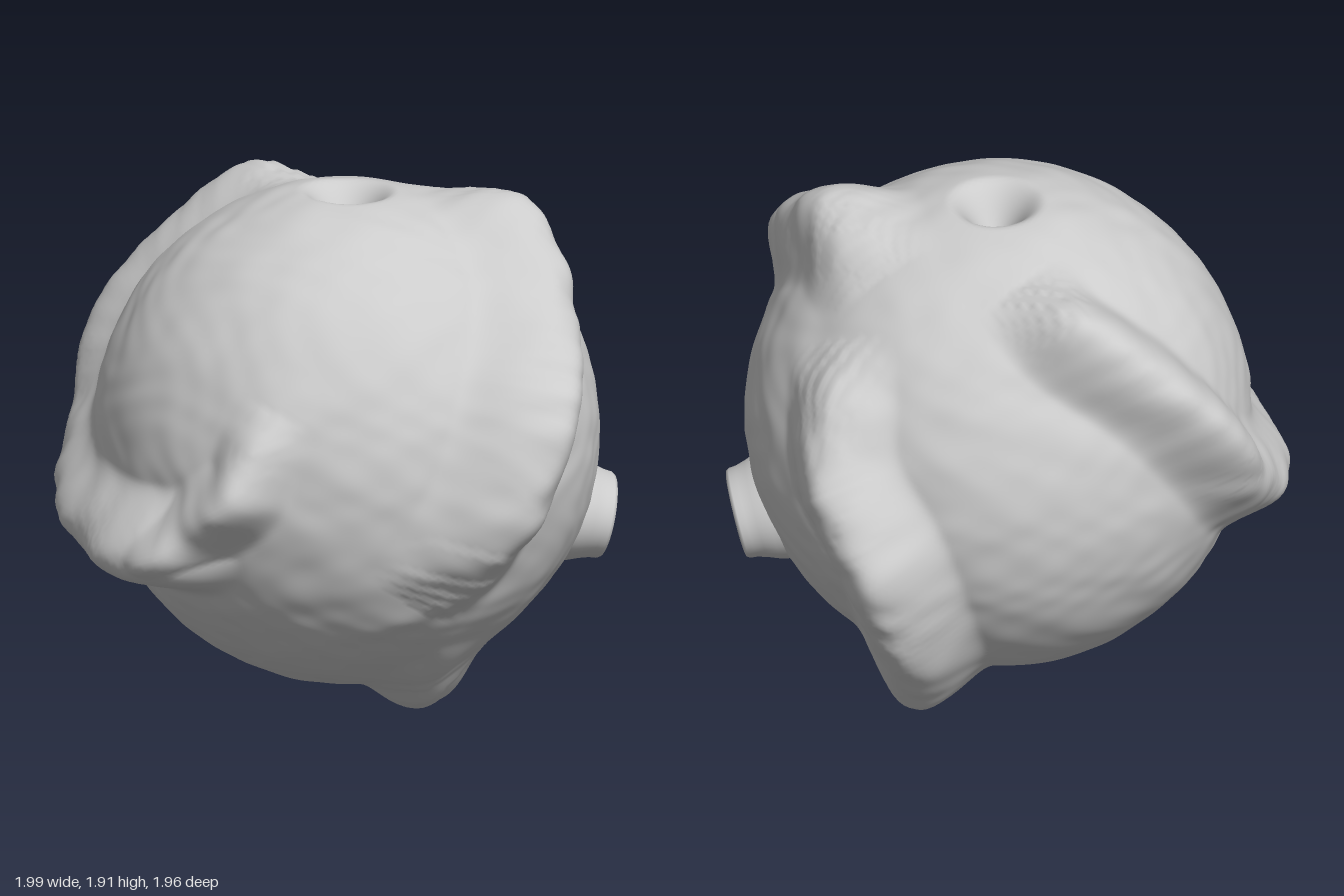
import * as THREE from 'three';
import { mergeVertices } from 'three/addons/utils/BufferGeometryUtils.js';

const CENTRE = new THREE.Vector3(0.03, 1.035, 0);
const RADIUS = 0.893;

// Crest paths, with the falloff width on either side of each crest
const RIDGES = [
  { // front ridge, from the crown down across the front
    right: 0.33, left: 0.28,
    path: [[0.49, 1.75, -0.3], [0.59, 1.84, -0.13], [0.67, 1.89, 0.08], [0.74, 1.74, 0.31], [0.76, 1.55, 0.61],
      [0.7, 1.3, 0.86], [0.58, 1, 0.96], [0.4, 0.77, 0.91], [0.2, 0.6, 0.78]],
  },
  { // back ridge, running under the body
    right: 0.34, left: 0.26,
    path: [[0.6, 1.6, -0.38], [0.69, 1.46, -0.62], [0.73, 1.25, -0.77], [0.58, 0.89, -0.97],
      [0.43, 0.45, -0.82], [0.36, 0.13, -0.5], [0.31, 0.01, -0.1], [0.3, 0.03, 0.14], [0.28, 0.21, 0.37]],
  },
  { // side ridge, from behind the crown round to the front corner
    right: 0.25, left: 0.25,
    path: [[-0.02, 1.81, -0.45], [-0.22, 1.81, -0.72], [-0.53, 1.57, -0.76], [-0.79, 1.25, -0.68],
      [-0.89, 0.97, -0.47], [-0.98, 0.82, -0.18], [-0.98, 0.77, 0.1], [-0.89, 0.74, 0.55], [-0.74, 0.77, 0.7]],
  },
  { // narrow spur from the corner up the front
    right: 0.19, left: 0.2,
    path: [[-0.89, 0.74, 0.53], [-0.77, 0.79, 0.73], [-0.64, 0.92, 0.81], [-0.52, 1.06, 0.91],
      [-0.42, 1.22, 0.86], [-0.31, 1.35, 0.78]],
  },
].map(({ right, left, path }) => {
  const curve = new THREE.CatmullRomCurve3(path.map(p => new THREE.Vector3(...p).sub(CENTRE)));
  const samples = [];
  for (let i = 0; i <= 110; i++) {
    const point = curve.getPoint(i / 110);
    const dir = point.clone().normalize();
    const side = new THREE.Vector3().crossVectors(dir, curve.getTangent(i / 110)).normalize();
    samples.push({ dir, side, height: Math.max(0, point.length() - RADIUS) });
  }
  return { right, left, samples };
});

// Height added by one ridge in a given direction
function ridgeHeight(v, { right, left, samples }) {
  let best = -2, near;
  for (const s of samples) {
    const d = v.dot(s.dir);
    if (d > best) { best = d; near = s; }
  }
  const angle = Math.acos(Math.min(1, best));
  const blend = THREE.MathUtils.smoothstep(v.dot(near.side), -0.04, 0.04);
  return near.height * (1 - THREE.MathUtils.smoothstep(angle, 0, right + (left - right) * blend));
}

// Gentle layered lumps
function lumps(v) {
  const { x, y, z } = v;
  return Math.sin(9 * x + 2 * Math.sin(7 * y)) * Math.sin(10 * y + 2 * Math.sin(8 * z)) * Math.sin(9 * z + 2 * x)
    + 0.5 * Math.sin(23 * x + 2 * Math.sin(9 * z)) * Math.sin(25 * y + 2 * x) * Math.sin(22 * z + 2 * Math.sin(11 * y));
}

function bodyGeometry() {
  let geo = new THREE.IcosahedronGeometry(1, 62);
  geo.deleteAttribute('normal');
  geo.deleteAttribute('uv');
  geo = mergeVertices(geo, 1e-5);
  const pos = geo.attributes.position;
  const pit = new THREE.Vector3(0.01, 1, -0.03).normalize();
  const v = new THREE.Vector3();
  for (let i = 0; i < pos.count; i++) {
    v.fromBufferAttribute(pos, i).normalize();
    const ridge = Math.max(...RIDGES.map(r => ridgeHeight(v, r)));
    const hollow = 0.2 * (1 - THREE.MathUtils.smoothstep(v.angleTo(pit), 0, 0.2));
    const r = RADIUS + ridge - hollow + lumps(v) * (0.005 + 0.06 * ridge);
    v.multiplyScalar(r).add(CENTRE);
    pos.setXYZ(i, v.x, Math.max(0, v.y), v.z);
  }
  geo.computeVertexNormals();
  return geo;
}

export function createModel() {
  const group = new THREE.Group();
  group.name = 'ridgedBall';
  const material = new THREE.MeshStandardMaterial({ color: 0xcccccc });

  // Lumpy ball with ridges and a hollow in the crown
  const body = new THREE.Mesh(bodyGeometry(), material);
  body.name = 'body';
  group.add(body);

  // Flat-ended oval stub on the side, flared at its root and tilted slightly down
  const profile = [[0.25, -0.22], [0.225, -0.12], [0.205, -0.075], [0.193, -0.04],
    [0.19, -0.014], [0.182, -0.003], [0.165, 0], [0, 0]].map(p => new THREE.Vector2(...p));
  const stub = new THREE.Mesh(new THREE.LatheGeometry(profile, 48), material);
  stub.name = 'sideStub';
  stub.scale.x = 0.8;
  stub.rotation.z = THREE.MathUtils.degToRad(-104);
  stub.position.set(0.957, 0.675, -0.02);
  group.add(stub);

  return group;
}
